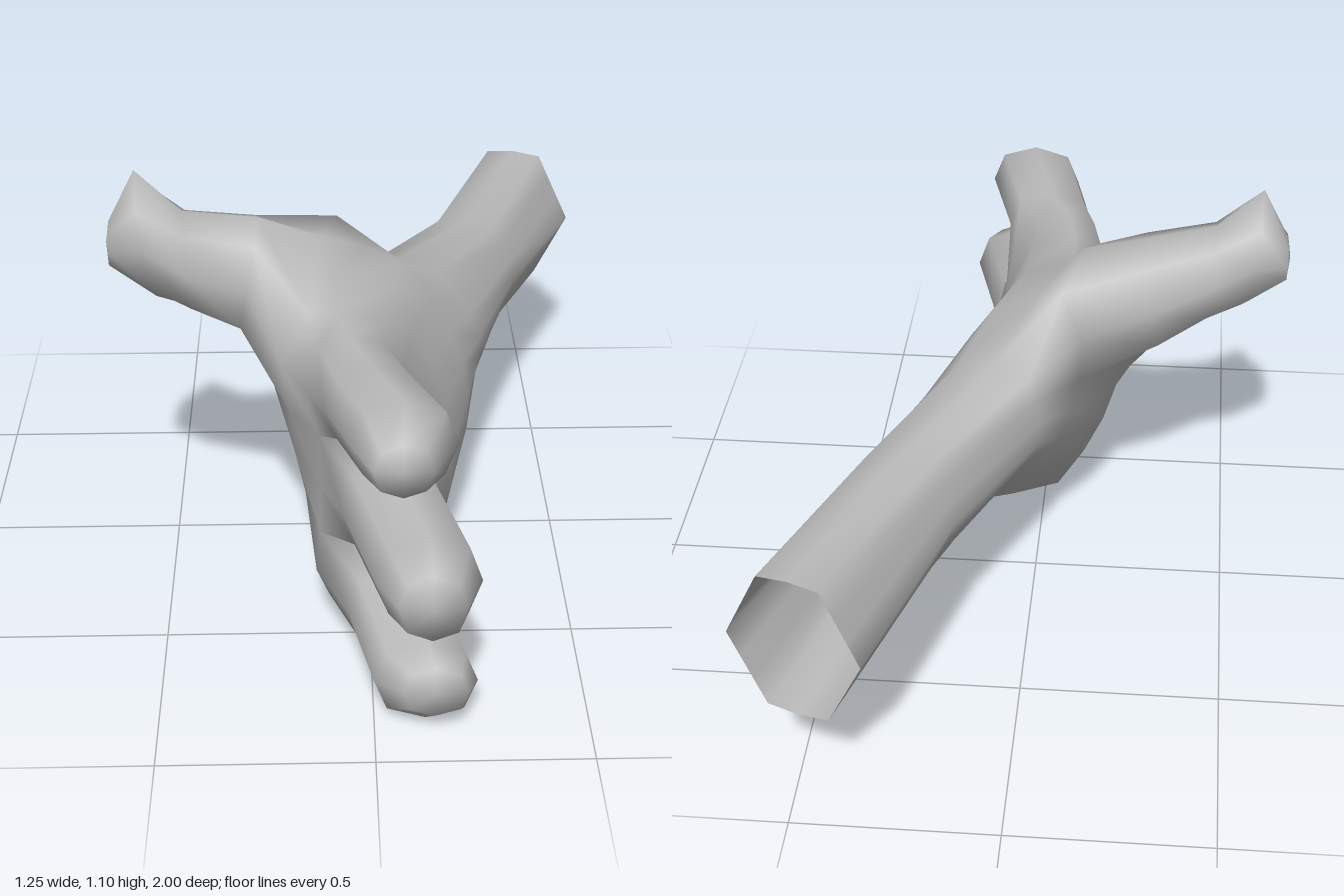
import * as THREE from 'three';
import { mergeGeometries, mergeVertices } from 'three/addons/utils/BufferGeometryUtils.js';

const skin = new THREE.MeshStandardMaterial({ color: 0xbababa, side: THREE.DoubleSide });
skin.name = 'plain grey';

// Skin a row of equal point rings; a tip closes the far end, isHole leaves faces out
function loft(rings, { tip, isHole = () => false }) {
  const n = rings[0].length, pos = rings.flat(2), index = [];
  for (let r = 0; r < rings.length - 1; r++) {
    for (let i = 0; i < n; i++) {
      if (isHole(r, i)) continue;
      const a = r * n + i, b = r * n + (i + 1) % n;
      index.push(a, b, b + n, a, b + n, a + n);
    }
  }
  if (tip) {
    const end = (rings.length - 1) * n;
    pos.push(...tip);
    for (let i = 0; i < n; i++) index.push(end + i, end + (i + 1) % n, end + n);
  }
  const g = new THREE.BufferGeometry();
  g.setAttribute('position', new THREE.Float32BufferAttribute(pos, 3));
  g.setIndex(index);
  return g;
}

// Eight-point ring around c with half-axes u and v; p, q place the corners
function ring(c, u, v, p = 0.75, q = 0.74) {
  return [[1, 0], [p, q], [0, 1], [-p, q], [-1, 0], [-p, -q], [0, -1], [p, -q]]
    .map(([s, t]) => c.map((m, i) => m + s * u[i] + t * v[i]));
}
const fingerRing = (x, y, z, a, b) => ring([x, y, z], [a, 0, 0], [0, b, 0]);
const thumbRing = (x, y, z, ux, uy, w, p, q) => ring([x, y, z], [ux, uy, 0], [0, 0, -w], p, q);

// Sixteen-point ring: seven points up each side plus top and bottom.
// lean shifts x with height, tilt shifts z with x, p and q place the corners, e rounds the sides
function palmRing(x, y, z, a, b, lean, tilt, p, q, e) {
  const at = (s, t) => [x + s * a + lean * t * b, y + t * b, z + s * a * tilt];
  const side = [-3, -2, -1, 0, 1, 2, 3].map((k) => [1 - (1 - p) * Math.abs(k / 3) ** e, q * k / 3]);
  return [
    ...side.map(([s, t]) => at(s, t)), at(0, 1),
    ...side.map(([s, t]) => at(-s, t)).reverse(), at(0, -1),
  ];
}

export function createModel() {
  // Knuckle outline shared by the palm and the finger roots
  const knuckle = ([x, y]) => [x, y, 0.49];
  const back = [[0.14, 0.08], [0.19, 0.18], [0.14, 0.31], [0.16, 0.44], [0.12, 0.59], [0.1, 0.7], [0.03, 0.8]].map(knuckle);
  const inner = [[-0.1, 0.11], [-0.13, 0.18], [-0.12, 0.29], [-0.12, 0.42], [-0.12, 0.56], [-0.15, 0.68], [-0.12, 0.79]].map(knuckle);
  const webs = [[0.04, 0.05], [0.02, 0.3], [0, 0.575], [-0.05, 0.82]].map(knuckle);

  // Open forearm running into the palm
  const palmRings = [
    palmRing(0.465, 0.495, -0.95, 0.16, 0.195, 0, 0.31, 0.46, 0.96, 1),
    palmRing(0.29, 0.52, -0.47, 0.135, 0.162, 0, 0.31, 0.55, 0.92, 1.3),
    palmRing(0.14, 0.53, -0.12, 0.165, 0.2, -0.25, 0.3, 0.55, 0.85, 1.6),
    palmRing(0.08, 0.51, 0.03, 0.17, 0.325, -0.25, 0.15, 0.55, 0.88, 2),
    palmRing(0, 0.465, 0.2, 0.2, 0.375, -0.22, 0, 0.6, 0.9, 2),
    palmRing(-0.015, 0.44, 0.36, 0.165, 0.375, -0.16, 0, 0.65, 0.93, 2),
    [...back, webs[3], ...inner.slice().reverse(), webs[0]],
  ];

  // Thumb root: an opening in the palm, as ring number, place on the ring and position
  const thumbRoot = [
    [4, 8, [-0.11, 0.915, 0.14]], [3, 8, [-0.07, 0.89, -0.04]], [3, 9, [-0.12, 0.76, -0.05]],
    [3, 10, [-0.11, 0.61, 0]], [4, 10, [-0.235, 0.54, 0.18]], [5, 10, [-0.19, 0.55, 0.36]],
    [5, 9, [-0.21, 0.68, 0.36]], [5, 8, [-0.14, 0.81, 0.35]],
  ].map(([r, i, point]) => (palmRings[r][i] = point));
  const palm = loft(palmRings, { isHole: (r, i) => (r === 3 || r === 4) && (i === 8 || i === 9) });

  // Thumb sweeping sideways and up
  const thumb = loft([
    thumbRoot,
    thumbRing(-0.29, 0.815, 0.125, 0.025, 0.145, 0.13),
    thumbRing(-0.435, 0.862, 0.15, -0.01, 0.128, 0.105),
    thumbRing(-0.535, 0.93, 0.15, -0.02, 0.167, 0.113, 0.6, 0.85),
    thumbRing(-0.622, 0.91, 0.15, 0, 0.055, 0.06),
  ], { tip: [-0.63, 0.91, 0.15] });

  // Three fingers with blunt rounded tips, from the lowest up
  const fingers = [
    { rings: [[0.06, 0.15, 0.62, 0.118, 0.112], [0.12, 0.105, 0.84, 0.12, 0.105], [0.14, 0.12, 0.905, 0.075, 0.065]], tip: [0.14, 0.12, 0.912] },
    { rings: [[0.05, 0.428, 0.62, 0.12, 0.122], [0.12, 0.415, 0.89, 0.12, 0.115], [0.125, 0.41, 0.99, 0.075, 0.085]], tip: [0.125, 0.41, 1] },
    { rings: [[0.005, 0.705, 0.62, 0.115, 0.105], [0.065, 0.733, 0.83, 0.12, 0.105], [0.06, 0.715, 0.92, 0.065, 0.065]], tip: [0.06, 0.715, 0.928] },
  ].map(({ rings, tip }, i) => {
    const k = 2 * i;
    const root = [back[k + 1], back[k + 2], webs[i + 1], inner[k + 2], inner[k + 1], inner[k], webs[i], back[k]];
    return loft([root, ...rings.map((r) => fingerRing(...r))], { tip });
  });

  // Weld everything into one smooth skin
  const surface = mergeVertices(mergeGeometries([palm, thumb, ...fingers]));
  surface.computeVertexNormals();
  const mesh = new THREE.Mesh(surface, skin);
  mesh.name = 'forearmPalmThumbAndFingers';
  const hand = new THREE.Group();
  hand.name = 'hand';
  hand.add(mesh);
  return hand;
}
